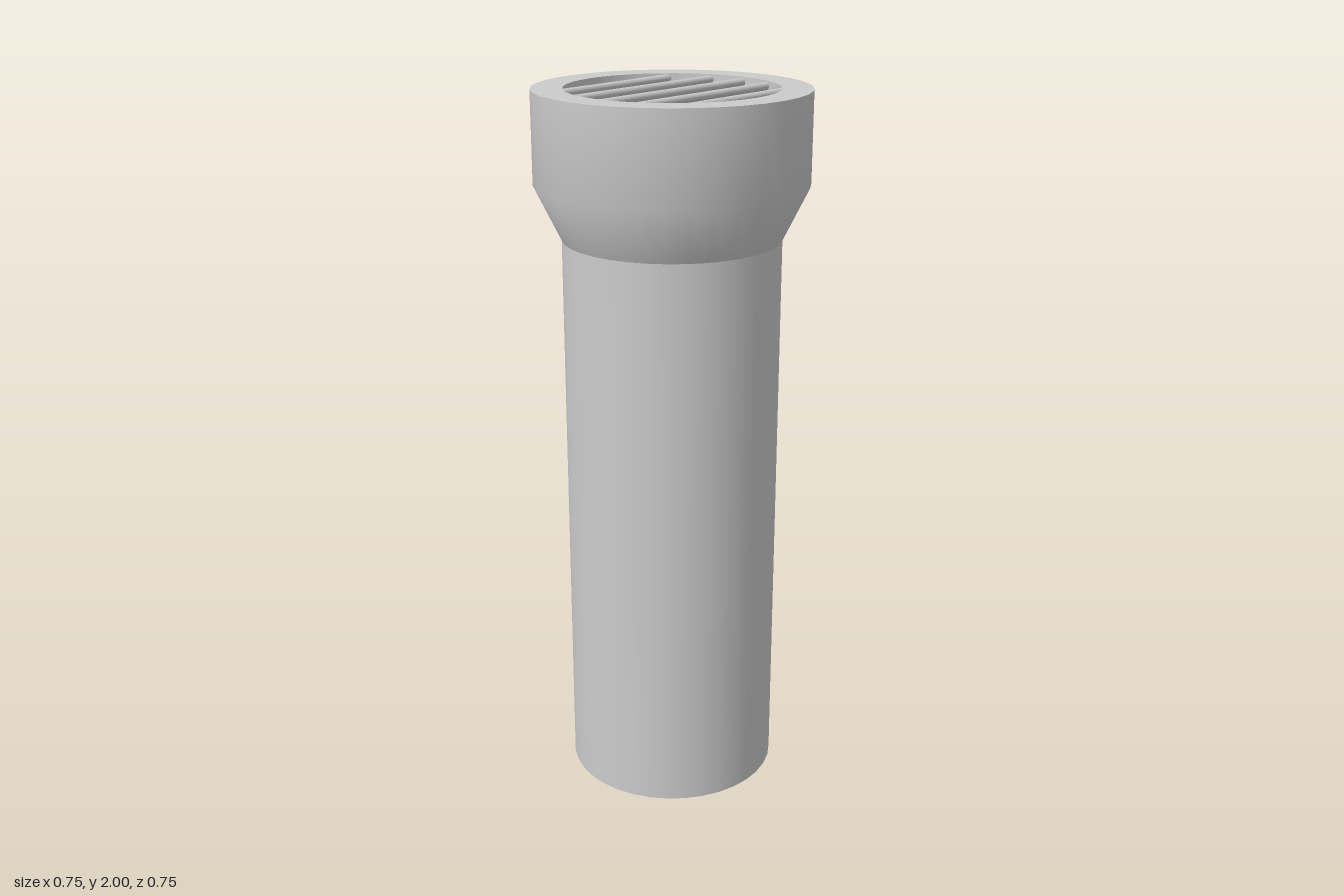
import * as THREE from 'three';

const SIDES = 36;
const BORE = 0.288; // inner radius of the socket

export function createModel() {
  const model = new THREE.Group();
  const material = new THREE.MeshStandardMaterial({ color: 0xcccccc });

  // One smooth surface of revolution; separate strips keep the edges between them sharp
  const addRing = (parent, name, profile) => {
    const points = profile.map(([r, y]) => new THREE.Vector2(r, y));
    const mesh = new THREE.Mesh(new THREE.LatheGeometry(points, SIDES), material);
    mesh.name = name;
    parent.add(mesh);
  };

  // Straight hollow pipe
  const pipe = new THREE.Group();
  pipe.name = 'pipe';
  addRing(pipe, 'pipeOuterWall', [[0.3, 0], [0.3, 1.6]]);
  addRing(pipe, 'pipeInnerWall', [[0.235, 1.6], [0.235, 0]]);
  addRing(pipe, 'pipeBottomRim', [[0.235, 0], [0.3, 0]]);
  model.add(pipe);

  // Flared socket on top of the pipe
  const socket = new THREE.Group();
  socket.name = 'socket';
  addRing(socket, 'socketOuterWall', [[0.3, 1.6], [0.373, 1.75], [0.373, 2]]);
  addRing(socket, 'socketTopRim', [[0.373, 2], [BORE, 2]]);
  addRing(socket, 'socketInnerWall', [[BORE, 2], [BORE, 1.75], [0.235, 1.6]]);
  model.add(socket);

  // Grate bars across the opening, their ends sunk into the socket wall
  const grate = new THREE.Group();
  grate.name = 'grate';
  for (let i = -2; i <= 2; i++) {
    const z = i * 0.103;
    const length = 2 * Math.sqrt(BORE * BORE - z * z) + 0.04;
    const bar = new THREE.Mesh(new THREE.CylinderGeometry(0.011, 0.011, length, 16), material);
    bar.name = 'grateBar';
    bar.rotation.z = Math.PI / 2;
    bar.position.set(0, 1.986, z);
    grate.add(bar);
  }
  model.add(grate);

  return model;
}
